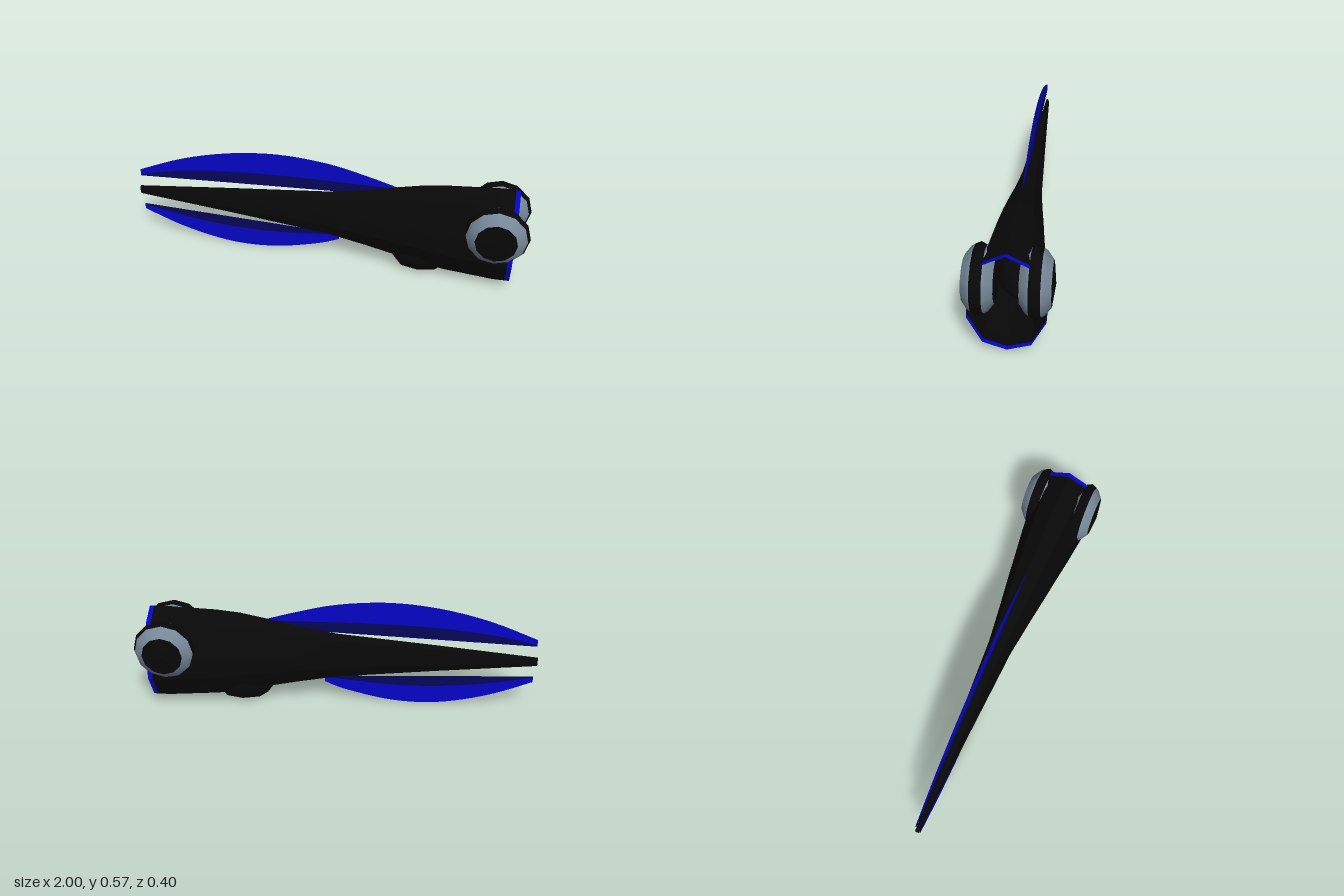
import * as THREE from 'three';

const mat = (name, color) => {
  const m = new THREE.MeshStandardMaterial({ color });
  m.name = name;
  return m;
};

// Half cross-section of the body: [share of half width, share of height]
const half = [[0, 1], [0.57, 0.9], [0.98, 0.56], [1, 0.33], [0.62, 0.07], [0, 0]];
const section = [...half, ...half.slice(1, -1).reverse().map(([w, h]) => [-w, h])];

// Stations along the body: [x, bottom, top, half width]
const stations = [
  [-1, 0.245, 0.293, 0.01], [-0.5, 0.197, 0.343, 0.034], [0, 0.145, 0.39, 0.06],
  [0.2, 0.11, 0.425, 0.084], [0.35, 0.08, 0.462, 0.104], [0.48, 0.055, 0.49, 0.12],
  [0.6, 0.036, 0.503, 0.136], [0.85, 0.026, 0.513, 0.166], [0.908, 0.028, 0.513, 0.168],
];
const rim = [[0.908, 0.028, 0.513, 0.168], [0.93, 0.028, 0.513, 0.168]];

// Skin over stations, with an optional cap at the tail
function loft(rows, tailCap) {
  const pos = [], index = [], n = section.length;
  for (const [x, lo, hi, w] of rows)
    for (const [s, t] of section) pos.push(x, lo + (hi - lo) * t, s * w);
  for (let i = 0; i < rows.length - 1; i++)
    for (let j = 0; j < n; j++) {
      const a = i * n + j, b = i * n + (j + 1) % n;
      index.push(a, b, a + n, b, b + n, a + n);
    }
  if (tailCap) for (let j = 1; j < n - 1; j++) index.push(0, j + 1, j);
  const g = new THREE.BufferGeometry();
  g.setAttribute('position', new THREE.Float32BufferAttribute(pos, 3));
  g.setIndex(index);
  const flat = g.toNonIndexed();
  flat.computeVertexNormals();
  return flat;
}

// Flat sheet between two edges, each drawn as a smooth curve
function sheet(upper, lower) {
  const line = pts => new THREE.SplineCurve(pts.map(p => new THREE.Vector2(...p))).getPoints(24);
  return new THREE.ShapeGeometry(new THREE.Shape([...line(lower), ...line(upper).reverse()]));
}

export function createModel() {
  const model = new THREE.Group();
  const black = mat('black', 0x080808);
  const grey = mat('slate grey', 0x778899);
  const blue = mat('blue', 0x0505c8);
  const navy = mat('navy', 0x050558);
  black.side = blue.side = navy.side = THREE.DoubleSide;

  const add = (name, geometry, material, parent = model) => {
    const m = new THREE.Mesh(geometry, material);
    m.name = name;
    parent.add(m);
    return m;
  };

  // Hollow tapering body, open at the head end with a blue rim
  add('body', loft(stations, true), black);
  add('headRim', loft(rim, false), blue);

  // Faceted lump under the throat
  const lump = add('throatLump', new THREE.SphereGeometry(1, 8, 4), black);
  lump.scale.set(0.17, 0.1, 0.1);
  lump.position.set(0.478, 0.103, 0);

  // Eyes: flattened balls with dark pupils, grey rings and a dark middle band
  const profile = (...pts) => new THREE.LatheGeometry(pts.map(p => new THREE.Vector2(...p)), 12);
  const parts = [
    ['innerPupil', black, profile([0, -0.08], [0.1, -0.067])],
    ['innerRing', grey, profile([0.1, -0.067], [0.136, -0.04], [0.145, -0.025])],
    ['middleBand', black, profile([0.145, -0.025], [0.157, 0], [0.145, 0.025])],
    ['outerRing', grey, profile([0.145, 0.025], [0.136, 0.04], [0.1, 0.067])],
    ['outerPupil', black, profile([0.1, 0.067], [0, 0.08])],
  ];
  for (const side of [1, -1]) {
    const eye = new THREE.Group();
    eye.name = side > 0 ? 'frontEye' : 'backEye';
    for (const [name, material, geometry] of parts) add(name, geometry, material, eye);
    eye.rotation.x = side * Math.PI / 2;
    eye.position.set(0.843, 0.33, side * 0.12);
    model.add(eye);
  }

  // Upper fin: blue outer blade, navy inner strip
  const upperSeam = [[-0.99, 0.363], [-0.8, 0.405], [-0.5, 0.44], [-0.2, 0.452], [0.1, 0.452], [0.36, 0.452]];
  add('upperFin', sheet(
    [[-0.99, 0.392], [-0.75, 0.486], [-0.5, 0.547], [-0.25, 0.57], [0, 0.55], [0.2, 0.503], [0.36, 0.456]],
    upperSeam), blue);
  add('upperFinStrip', sheet(upperSeam, [[-0.99, 0.355], [0.36, 0.41]]), navy);

  // Lower fin
  const lowerSeam = [[-0.99, 0.176], [-0.8, 0.138], [-0.6, 0.112], [-0.4, 0.102], [-0.2, 0.11], [0.06, 0.136]];
  add('lowerFin', sheet(lowerSeam,
    [[-0.99, 0.15], [-0.8, 0.072], [-0.6, 0.02], [-0.43, 0.003], [-0.25, 0.017], [-0.05, 0.065], [0.06, 0.108]]), blue);
  add('lowerFinStrip', sheet([[-0.99, 0.183], [0.06, 0.142]], lowerSeam), navy);

  return model;
}
